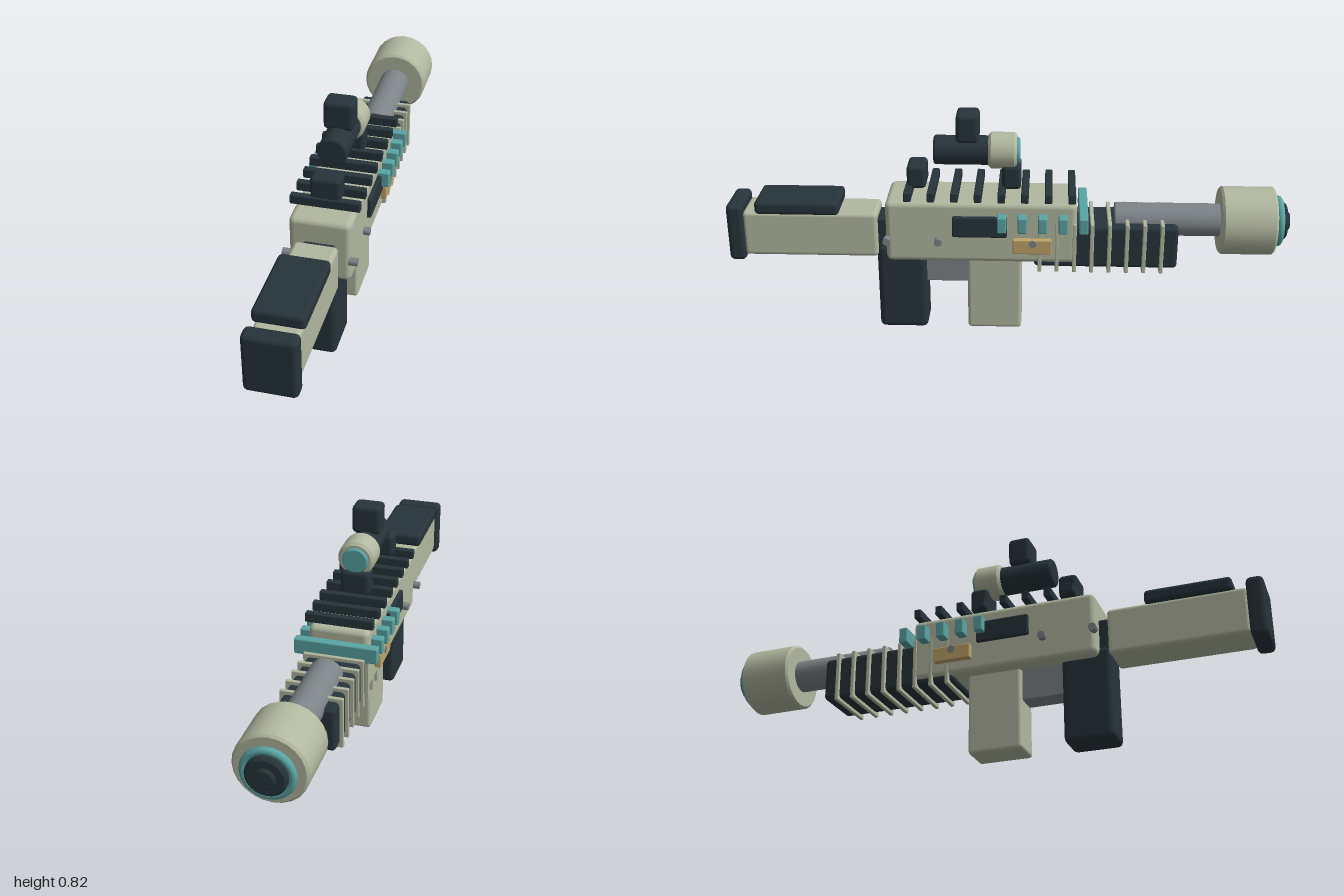
import * as THREE from 'three';
import { RoundedBoxGeometry } from 'three/addons/geometries/RoundedBoxGeometry.js';

const paint = (color) => new THREE.MeshStandardMaterial({ color });

export function createModel() {
  const group = new THREE.Group();
  const cream = paint(0xb2b8a0), dark = paint(0x26343a), steel = paint(0x7d8488);
  const teal = paint(0x5aa5a4), gold = paint(0xbfa468);

  // Rounded box given by its ranges in x, y and z
  const box = (name, mat, [x0, x1], [y0, y1], [z0, z1], r = 0.015) => {
    const mesh = new THREE.Mesh(new RoundedBoxGeometry(x1 - x0, y1 - y0, z1 - z0, 2, r), mat);
    mesh.position.set((x0 + x1) / 2, (y0 + y1) / 2, (z0 + z1) / 2);
    mesh.name = name;
    group.add(mesh);
    return mesh;
  };
  // Box centred on x = 0
  const mid = (name, mat, w, y, z, r) => box(name, mat, [-w, w], y, z, r);

  // Bevelled cylinder along z, between z0 (rear) and z1 (muzzle side)
  const tube = (name, mat, radius, y, z0, z1, bevel = 0.006) => {
    const len = z0 - z1;
    const profile = [[0, 0], [radius - bevel, 0], [radius, bevel], [radius, len - bevel], [radius - bevel, len], [0, len]]
      .map(([r, h]) => new THREE.Vector2(r, h));
    // Each profile segment is its own lathe, so edges stay crisp
    const part = new THREE.Group();
    for (let i = 0; i < profile.length - 1; i++) {
      part.add(new THREE.Mesh(new THREE.LatheGeometry([profile[i], profile[i + 1]], 24), mat));
    }
    part.rotation.x = -Math.PI / 2;
    part.position.set(0, y, z0);
    part.name = name;
    group.add(part);
  };

  // Stock
  mid('buttPad', dark, 0.088, [0.28, 0.495], [0.94, 1.0], 0.018);
  mid('stock', cream, 0.075, [0.297, 0.465], [0.463, 0.945], 0.015);
  mid('cheekRest', dark, 0.086, [0.46, 0.51], [0.597, 0.897], 0.015);
  mid('stockJoint', dark, 0.055, [0.32, 0.44], [0.4, 0.48], 0.01);

  // Receiver with grip, trigger block and magazine
  mid('receiver', cream, 0.106, [0.297, 0.525], [-0.245, 0.43], 0.02);
  mid('grip', dark, 0.063, [0.004, 0.335], [0.293, 0.47], 0.02);
  mid('triggerBlock', steel, 0.04, [0.188, 0.31], [0.13, 0.3], 0.004);
  mid('magazine', cream, 0.061, [0.008, 0.31], [-0.05, 0.145], 0.012);

  // Top rail slats
  for (let i = 0; i < 8; i++) {
    const z = 0.348 - i * 0.082;
    mid('railSlat', dark, 0.12, [0.533, 0.567], [z - 0.013, z + 0.013], 0.004);
  }

  // Cooling bars running right through the receiver
  for (let i = 0; i < 5; i++) {
    const z = 0.018 - i * 0.0715;
    mid('coolingBar', teal, 0.147, [0.43, 0.488], [z - 0.016, z + 0.016], 0.005);
  }

  // Side fittings, mirrored
  for (const s of [-1, 1]) {
    const side = (a, b) => (s > 0 ? [a, b] : [-b, -a]);
    box('sidePort', dark, side(0.09, 0.12), [0.4, 0.477], [0, 0.193], 0.006);
    box('sidePlate', gold, side(0.1, 0.127), [0.342, 0.396], [-0.157, -0.02], 0.004);
    for (const z of [0.425, 0.243, -0.09]) {
      const screw = new THREE.Mesh(new THREE.CylinderGeometry(0.014, 0.014, 0.03, 12), steel);
      screw.rotation.z = Math.PI / 2;
      screw.position.set(s * 0.114, 0.382, z);
      screw.name = 'screw';
      group.add(screw);
    }
  }

  // Handguard with ribs
  mid('handguard', dark, 0.095, [0.278, 0.437], [-0.603, -0.095], 0.015);
  for (let i = 0; i < 8; i++) {
    const z = -0.115 - i * 0.0615;
    mid('handguardRib', cream, 0.107, [0.265, 0.45], [z - 0.007, z + 0.007], 0.003);
  }

  // Barrel and muzzle
  tube('barrel', steel, 0.059, 0.43, -0.38, -0.77, 0.002);
  tube('muzzle', cream, 0.122, 0.43, -0.752, -0.945, 0.008);
  const ring = new THREE.Mesh(new THREE.TorusGeometry(0.078, 0.013, 10, 28), teal);
  ring.position.set(0, 0.43, -0.96);
  ring.name = 'muzzleRing';
  group.add(ring);
  tube('muzzleCap', dark, 0.068, 0.43, -0.93, -0.988, 0.008);
  tube('muzzleBore', dark, 0.035, 0.43, -0.98, -1.0, 0.005);

  // Scope on two mounts
  mid('rearMount', dark, 0.053, [0.555, 0.64], [0.287, 0.355], 0.015);
  mid('frontMount', dark, 0.053, [0.555, 0.645], [-0.047, 0.02], 0.015);
  tube('scopeTube', dark, 0.052, 0.685, 0.26, 0.0);
  tube('scopeHousing', cream, 0.065, 0.685, 0.068, -0.032, 0.01);
  tube('scopeLens', teal, 0.047, 0.685, -0.02, -0.043, 0.006);
  mid('scopeTurret', dark, 0.052, [0.725, 0.828], [0.1, 0.18], 0.015);

  return group;
}
